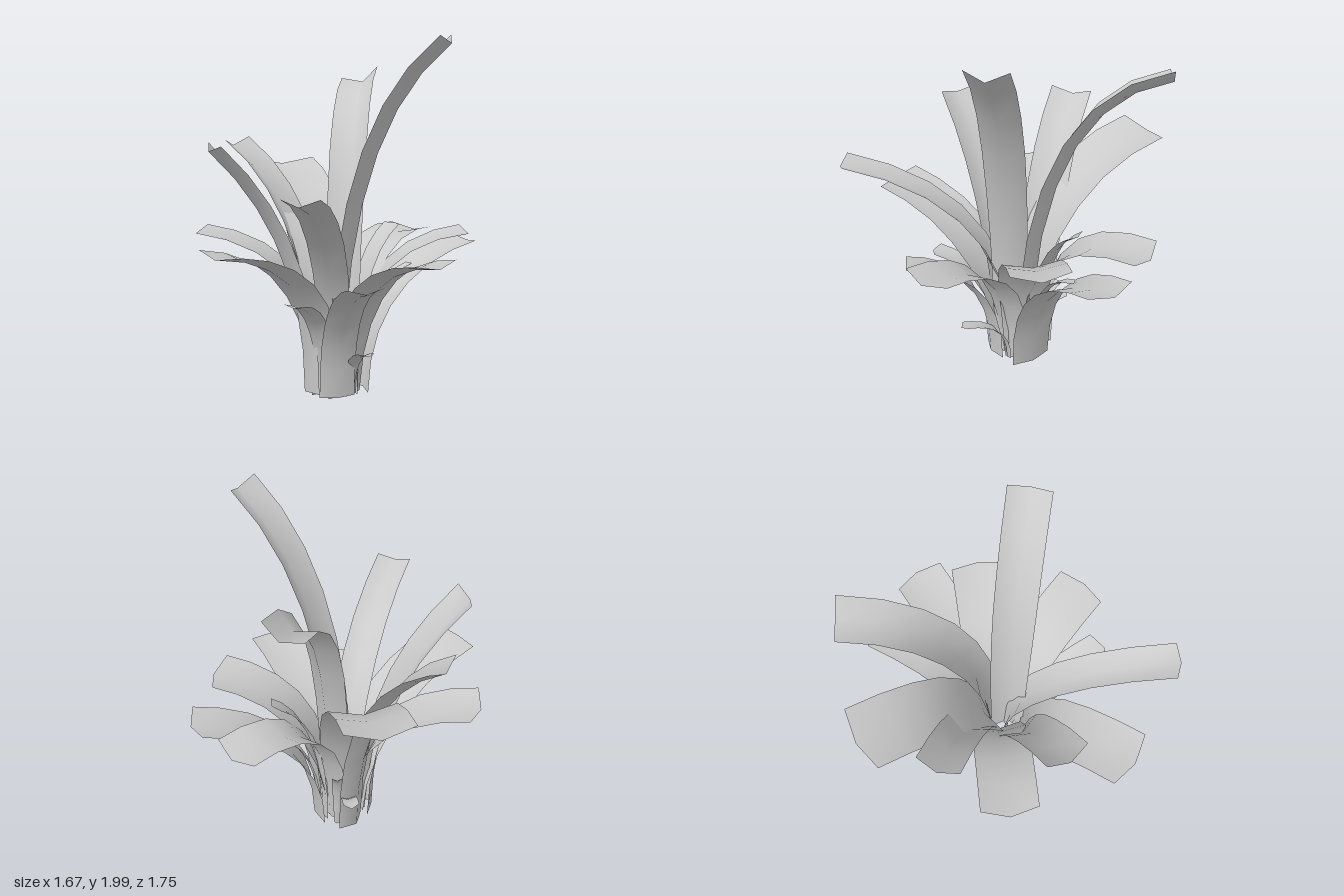
import * as THREE from 'three';

const ROWS = 7;

// One gutter-shaped leaf: rises from its base, then arches out to the tip.
// base [x, z], tip [x, y, z], bend = height of the arch control point,
// sag = depth of the gutter, point = how far the midrib passes the tip corners,
// foot = width at the base as a share of the full width, roll = sideways tilt.
function makeLeaf({ base, tip, bend, width, sag, point, foot, roll = 0 }) {
  const end = new THREE.Vector3(...tip);
  const start = new THREE.Vector3(base[0], 0, base[1]);
  start.y = 0.2 * start.length();
  const out = new THREE.Vector3(end.x - start.x, 0, end.z - start.z).normalize();
  const level = new THREE.Vector3(0, 1, 0).cross(out);
  const control = start.clone().setY(bend);
  const curve = new THREE.QuadraticBezierCurve3(start, control, end);

  const positions = [], index = [];
  for (let i = 0; i <= ROWS; i++) {
    const t = i / ROWS;
    const mid = curve.getPoint(t);
    const tangent = curve.getTangent(t);
    const side = level.clone().applyAxisAngle(tangent, roll);
    const inward = tangent.clone().cross(side).normalize();
    const half = width * 0.5 * Math.min(1, foot + (1 - foot) * 2 * t);
    for (const s of [-1, 0, 1]) {
      const p = mid.clone().addScaledVector(side, s * half);
      if (s) p.addScaledVector(inward, sag);
      if (s && i === ROWS) p.addScaledVector(tangent, -point);
      positions.push(p.x, p.y, p.z);
    }
    if (i === ROWS) continue;
    for (let j = 0; j < 2; j++) {
      const a = i * 3 + j;
      index.push(a, a + 1, a + 4, a, a + 4, a + 3);
    }
  }
  const geometry = new THREE.BufferGeometry();
  geometry.setAttribute('position', new THREE.Float32BufferAttribute(positions, 3));
  geometry.setIndex(index);
  geometry.computeVertexNormals();
  return geometry;
}

// Tall leaves with deep gutters
const tallLeaves = [
  { base: [0.01, 0.08], tip: [0.47, 1.96, 0.45], bend: 1.5, width: 0.23, sag: 0.055 },
  { base: [0.07, -0.03], tip: [0.41, 1.72, -0.69], bend: 1.62, width: 0.23, sag: 0.06, roll: -0.32 },
  { base: [-0.07, -0.16], tip: [-0.43, 1.37, -0.59], bend: 1.02, width: 0.24, sag: 0.05 },
  { base: [-0.19, 0.0], tip: [-0.72, 1.4, 0.02], bend: 0.9, width: 0.24, sag: 0.05 },
  { base: [-0.03, 0.05], tip: [-0.49, 1.21, 0.85], bend: 1.02, width: 0.2, sag: 0.04, point: 0.02 },
  { base: [-0.03, -0.04], tip: [-0.05, 1.22, -0.87], bend: 1.1, width: 0.37, sag: 0.04, point: 0.03, foot: 0.65 },
].map((leaf) => ({ point: 0, foot: 0.82, ...leaf }));

// Broad arching leaves
const broadLeaves = [
  { base: [-0.07, -0.04], tip: [-0.72, 0.91, -0.32], bend: 0.84, width: 0.32 },
  { base: [0.06, -0.05], tip: [0.65, 0.84, -0.43], bend: 0.95, width: 0.3 },
  { base: [0.155, 0.0], tip: [0.84, 0.82, -0.08], bend: 0.7, width: 0.29, foot: 0.85 },
  { base: [0.08, 0.03], tip: [0.68, 0.92, 0.25], bend: 0.86, width: 0.32 },
  { base: [0.05, 0.09], tip: [0.29, 0.84, 0.74], bend: 0.78, width: 0.3 },
  { base: [-0.05, 0.17], tip: [-0.07, 0.72, 0.67], bend: 0.62, width: 0.2, foot: 1 },
  { base: [-0.11, 0.06], tip: [-0.79, 0.9, 0.42], bend: 0.8, width: 0.33 },
].map((leaf) => ({ sag: 0.03, point: 0.035, foot: 0.6, ...leaf }));

// Small young leaves low on the clump
const smallLeaves = [
  { base: [-0.11, 0.1], tip: [-0.37, 0.61, 0.37], bend: 0.56, width: 0.13 },
  { base: [0.11, -0.04], tip: [0.4, 0.94, -0.13], bend: 0.78, width: 0.13 },
  { base: [0.13, -0.02], tip: [0.48, 0.71, -0.06], bend: 0.62, width: 0.06 },
  { base: [0.04, 0.11], tip: [0.04, 0.32, 0.4], bend: 0.28, width: 0.08 },
  { base: [-0.02, -0.1], tip: [-0.01, 0.3, -0.32], bend: 0.3, width: 0.09 },
  { base: [0.04, -0.13], tip: [0.06, 0.44, -0.24], bend: 0.42, width: 0.06 },
].map((leaf) => ({ sag: 0.012, point: 0.025, foot: 0.6, ...leaf }));

export function createModel() {
  const plant = new THREE.Group();
  plant.name = 'plant';
  const material = new THREE.MeshStandardMaterial({ color: 0xcccccc, side: THREE.DoubleSide });
  const sets = { tallLeaf: tallLeaves, broadLeaf: broadLeaves, smallLeaf: smallLeaves };
  for (const [name, leaves] of Object.entries(sets)) {
    leaves.forEach((leaf, i) => {
      const mesh = new THREE.Mesh(makeLeaf(leaf), material);
      mesh.name = `${name}${i + 1}`;
      plant.add(mesh);
    });
  }
  return plant;
}
